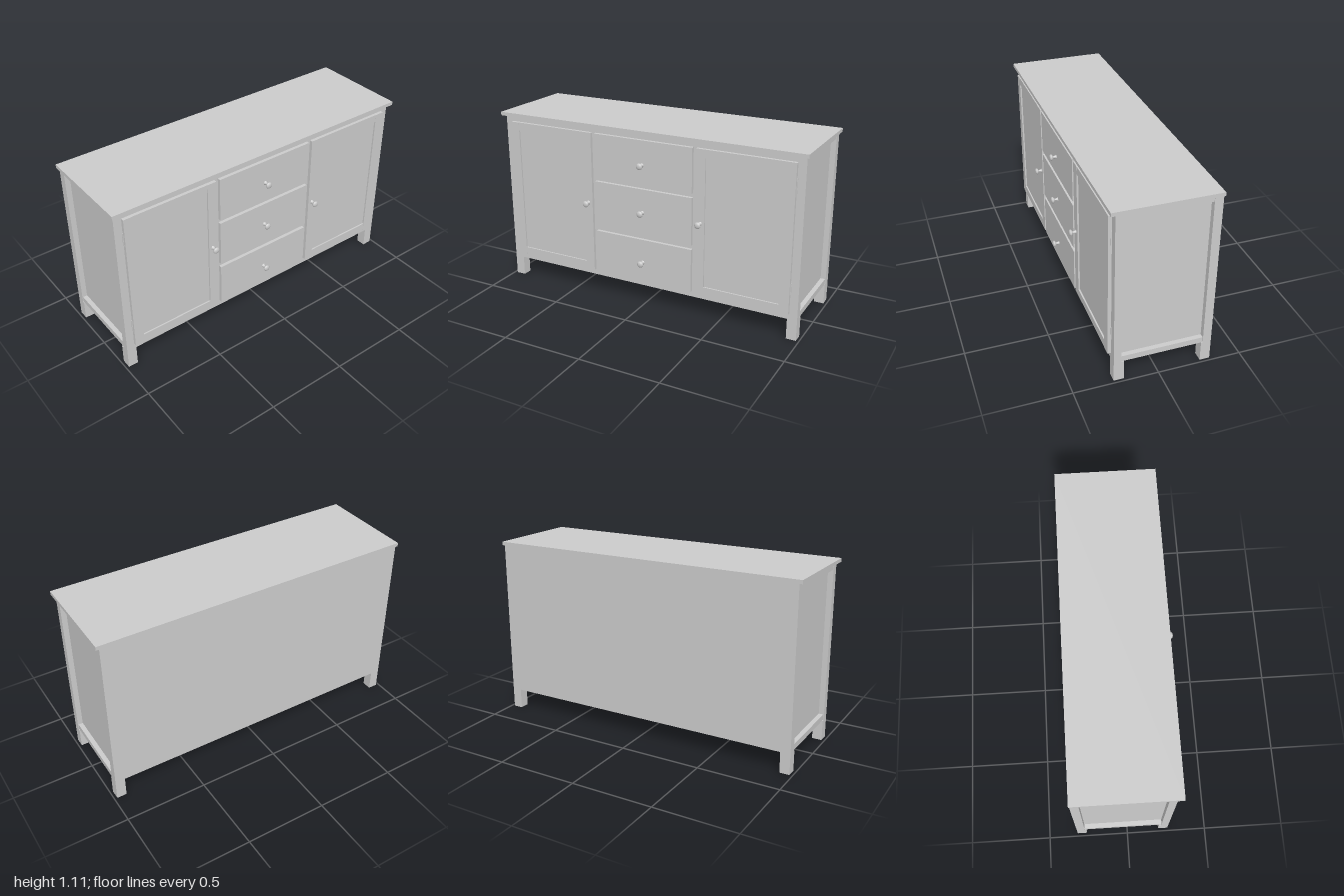
import * as THREE from 'three';

const material = new THREE.MeshStandardMaterial({ color: 0xcccccc });

export function createModel() {
  const sideboard = new THREE.Group();
  sideboard.name = 'sideboard';

  // Box given by its min and max on each axis
  const box = (name, [x0, x1], [y0, y1], [z0, z1], parent = sideboard) => {
    const mesh = new THREE.Mesh(new THREE.BoxGeometry(x1 - x0, y1 - y0, z1 - z0), material);
    mesh.position.set((x0 + x1) / 2, (y0 + y1) / 2, (z0 + z1) / 2);
    mesh.name = name;
    parent.add(mesh);
    return mesh;
  };
  // The same box on the left (+x) or right (-x) side
  const span = (s, a, b) => (s > 0 ? [a, b] : [-b, -a]);

  // Top board and carcass
  box('topBoard', [-1, 1], [1.09, 1.112], [-0.32, 0.29]);
  box('carcass', [-0.95, 0.95], [0.126, 1.09], [-0.32, 0.26]);

  // Turned knob, pointing to +z
  const knobProfile = [
    [0.013, 0], [0.01, 0.004], [0.007, 0.014], [0.008, 0.022], [0.016, 0.025],
    [0.0195, 0.03], [0.0195, 0.034], [0.015, 0.039], [0.008, 0.0415], [0, 0.042],
  ].map(([r, h]) => new THREE.Vector2(r, h));
  const knobGeometry = new THREE.LatheGeometry(knobProfile, 24).rotateX(Math.PI / 2);
  const knob = (x, y) => {
    const mesh = new THREE.Mesh(knobGeometry, material);
    mesh.name = 'knob';
    mesh.position.set(x, y, 0.28);
    sideboard.add(mesh);
  };

  for (const s of [1, -1]) {
    const side = s > 0 ? 'left' : 'right';

    // Corner posts and feet
    const post = span(s, 0.94, 0.982);
    box(side + 'FrontPost', post, [0.126, 1.09], [0.215, 0.26]);
    box(side + 'BackPost', post, [0.126, 1.09], [-0.32, -0.27]);
    const foot = span(s, 0.922, 0.982);
    box(side + 'FrontFoot', foot, [0, 0.126], [0.2, 0.26]);
    box(side + 'BackFoot', foot, [0, 0.126], [-0.32, -0.26]);

    // Side rails around the recessed side panel
    const rail = span(s, 0.94, 0.978);
    box(side + 'LowerSideRail', rail, [0.126, 0.162], [-0.27, 0.215]);
    box(side + 'UpperSideRail', rail, [1.054, 1.09], [-0.27, 0.215]);

    // Framed door
    const door = new THREE.Group();
    door.name = side + 'Door';
    sideboard.add(door);
    const z = [0.26, 0.28];
    box('innerStile', span(s, 0.348, 0.406), [0.163, 1.055], z, door);
    box('outerStile', span(s, 0.876, 0.934), [0.163, 1.055], z, door);
    box('lowerRail', span(s, 0.406, 0.876), [0.163, 0.213], [0.26, 0.279], door);
    box('upperRail', span(s, 0.406, 0.876), [1.005, 1.055], [0.26, 0.279], door);
    box('doorPanel', span(s, 0.406, 0.876), [0.213, 1.005], [0.255, 0.27], door);

    // Hinges on the outer edge of the door
    for (const y of [0.306, 0.922])
      box('hinge', span(s, 0.932, 0.938), [y - 0.043, y + 0.043], [0.258, 0.266], door);

    knob(s * 0.378, 0.61);
  }

  // Three drawers in the middle
  for (const [y0, y1, knobY] of [[0.163, 0.436, 0.287], [0.462, 0.757, 0.61], [0.782, 1.055, 0.905]]) {
    box('drawerFront', [-0.324, 0.324], [y0, y1], [0.26, 0.28]);
    knob(0, knobY);
  }

  return sideboard;
}
